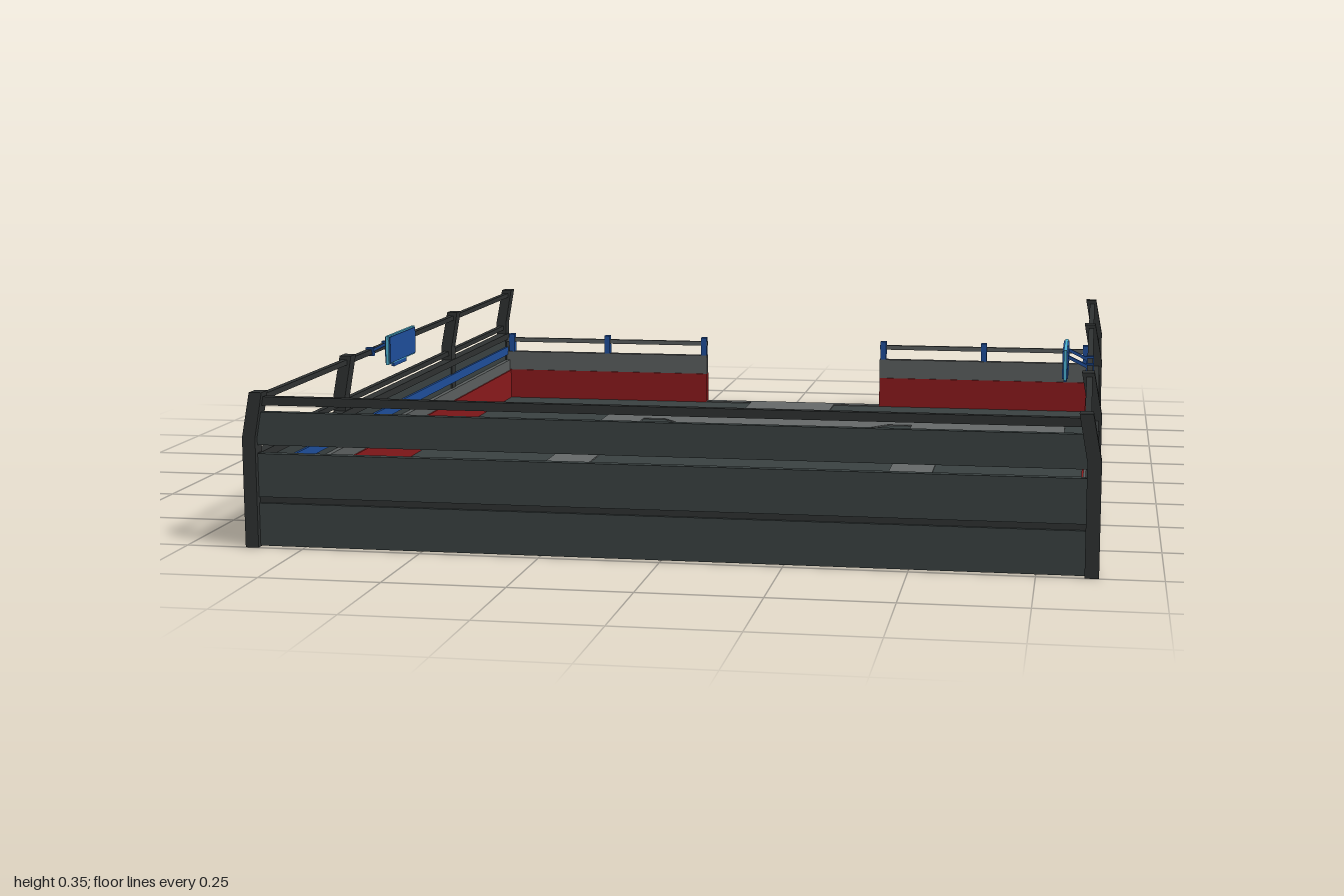
import * as THREE from 'three';

const mat = (name, color, side = THREE.FrontSide) => {
  const m = new THREE.MeshStandardMaterial({ color, side });
  m.name = name;
  return m;
};

export function createModel() {
  const deckGrey = mat('dark deck grey', 0x3a4242);
  const trimDark = mat('charcoal trim', 0x2f3232);
  const pathGrey = mat('path grey', 0x666a6a);
  const capGrey = mat('cap grey', 0x5c6060);
  const red = mat('red', 0x8c1a1c);
  const blue = mat('blue', 0x1f4f9c);
  const cyan = mat('cyan', 0x4fb4d6);

  const model = new THREE.Group();
  model.name = 'raisedTerrace';

  const add = (name, geometry, material, parent = model) => {
    const mesh = new THREE.Mesh(geometry, material);
    mesh.name = name;
    parent.add(mesh);
    return mesh;
  };
  // Box given by its limits on each axis
  const box = (name, [x0, x1], [y0, y1], [z0, z1], material, parent = model) => {
    const mesh = add(name, new THREE.BoxGeometry(Math.abs(x1 - x0), y1 - y0, z1 - z0), material, parent);
    mesh.position.set((x0 + x1) / 2, (y0 + y1) / 2, (z0 + z1) / 2);
    return mesh;
  };
  const vec = (pts) => pts.map(([x, y]) => new THREE.Vector2(x, y));

  // Floor
  box('floor', [-0.835, 0.835], [0.002, 0.01], [-0.99, 0.97], deckGrey);

  // Painted path: entrance, ring, side patio (shape y is -z)
  const path = new THREE.Shape(vec([
    [-0.25, 0.99], [-0.25, 0.965], [-0.12, 0.965], [-0.12, 0.725], [-0.48, 0.725], [-0.48, -0.255],
    [0.475, -0.255], [0.475, 0.525], [0.58, 0.525], [0.58, 0.44], [0.78, 0.44], [0.78, 0.805],
    [0.58, 0.805], [0.58, 0.725], [0.12, 0.725], [0.12, 0.965], [0.25, 0.965], [0.25, 0.99],
  ]));
  path.holes.push(new THREE.Path(vec([
    [-0.37, -0.155], [0.37, -0.155], [0.37, 0.645], [0.305, 0.645], [0.21, 0.525],
    [0.08, 0.47], [-0.08, 0.47], [-0.21, 0.525], [-0.31, 0.645], [-0.37, 0.645],
  ])));
  const pathMesh = add('path', new THREE.ExtrudeGeometry(path, { depth: 0.003, bevelEnabled: false }), pathGrey);
  pathMesh.rotation.x = -Math.PI / 2;
  pathMesh.position.y = 0.01;

  // Front platforms and the stairs leading up to them
  const low = 0.07, high = 0.13;
  box('lowerPlatform', [-0.835, 0.835], [0.01, low], [0.61, 0.97], deckGrey);
  box('upperPlatform', [-0.835, 0.835], [low, high], [0.79, 0.97], deckGrey);
  const stairs = (name, xs, base, top, z0, z1) => {
    for (let i = 0; i < 3; i++) {
      const rise = (top - base) / 4;
      box(name, xs, [base + i * rise, base + (i + 1) * rise], [z0 + i * (z1 - z0) / 3, z1], deckGrey);
    }
  };
  stairs('upperStep', [-0.83, 0.83], low, high, 0.72, 0.79);

  // Leaning post outline for the +x side
  const postGeometry = () => new THREE.ExtrudeGeometry(new THREE.Shape(vec([
    [0.845, 0], [0.873, 0], [0.873, 0.23], [0.855, 0.325], [0.828, 0.325], [0.845, 0.23],
  ])), { depth: 0.035, bevelEnabled: false });

  for (const s of [1, -1]) {
    const side = s > 0 ? 'left' : 'right';
    const X = (a, b) => [s * a, s * b].sort((p, q) => p - q);

    // Lower side stair with its cheek
    stairs(side + 'Step', X(0.535, 0.83), 0.01, low, 0.545, 0.61);
    box(side + 'StairCheek', X(0.528, 0.54), [0.01, low + 0.006], [0.535, 0.617], deckGrey);

    // Side wall: outer panel, red skirting, coloured inner bands
    box(side + 'WallPanel', X(0.848, 0.866), [0.005, 0.195], [-0.985, 0.985], deckGrey);
    box(side + 'RedSkirting', X(0.832, 0.862), [0, 0.09], [-0.98, 0.97], red);
    box(side + 'GreyBand', X(0.836, 0.85), [0.09, 0.12], [-0.98, 0.97], capGrey);
    box(side + 'BlueBand', X(0.842, 0.85), [0.135, 0.158], [-0.98, 0.97], blue);
    box(side + 'WallCap', X(0.842, 0.868), [0.18, 0.197], [-0.985, 0.985], trimDark);

    // Posts and rails
    for (const z of [-1, -0.445, 0.41, 0.965]) {
      const post = add(side + 'Post', postGeometry(), trimDark);
      if (s < 0) {
        post.rotation.y = Math.PI;
        post.position.z = z + 0.035;
      } else post.position.z = z;
    }
    box(side + 'LowerRail', X(0.853, 0.866), [0.208, 0.22], [-0.98, 0.98], trimDark);
    box(side + 'UpperRail', X(0.838, 0.851), [0.304, 0.316], [-0.98, 0.98], trimDark);

    // Hanging side panel with bracket arms
    const panel = new THREE.Group();
    panel.name = side + 'SidePanel';
    model.add(panel);
    box('panelFrame', X(0.786, 0.793), [0.285, 0.353], [0.095, 0.3], cyan, panel);
    box('panelFoot', X(0.786, 0.793), [0.276, 0.285], [0.165, 0.26], blue, panel);
    for (const [a, b] of [[0.783, 0.786], [0.793, 0.796]]) {
      box('panelFace', X(a, b), [0.288, 0.35], [0.1, 0.295], blue, panel);
    }
    for (const z of [0.14, 0.26]) {
      const arm = add('panelArm', new THREE.BoxGeometry(0.06, 0.007, 0.01), blue, panel);
      arm.position.set(s * 0.817, 0.323, z);
      arm.rotation.z = -s * 0.45;
      box('panelClamp', X(0.835, 0.853), [0.3, 0.32], [z - 0.008, z + 0.008], blue, panel);
    }

    // Back wall beside the entrance with its low railing
    box(side + 'BackRed', X(0.25, 0.85), [0, 0.092], [-0.995, -0.967], red);
    box(side + 'BackGrey', X(0.25, 0.85), [0.092, 0.145], [-0.99, -0.97], capGrey);
    box(side + 'BackRail', X(0.25, 0.85), [0.173, 0.185], [-0.988, -0.976], capGrey);
    for (const x of [0.26, 0.545, 0.83]) {
      box(side + 'BackRailPost', X(x - 0.008, x + 0.008), [0.14, 0.196], [-0.992, -0.972], blue);
    }
  }

  // Front wall boards, with open gaps above
  const front = [-0.85, 0.85];
  box('frontLowerBoard', front, [0.002, 0.092], [0.97, 0.988], deckGrey);
  box('frontGroove', front, [0.085, 0.11], [0.968, 0.982], trimDark);
  box('frontMiddleBoard', front, [0.105, 0.196], [0.97, 0.988], deckGrey);
  box('frontUpperBoard', front, [0.214, 0.283], [0.972, 0.988], deckGrey);
  box('frontTopRail', [-0.84, 0.84], [0.297, 0.315], [0.972, 0.988], trimDark);

  return model;
}
